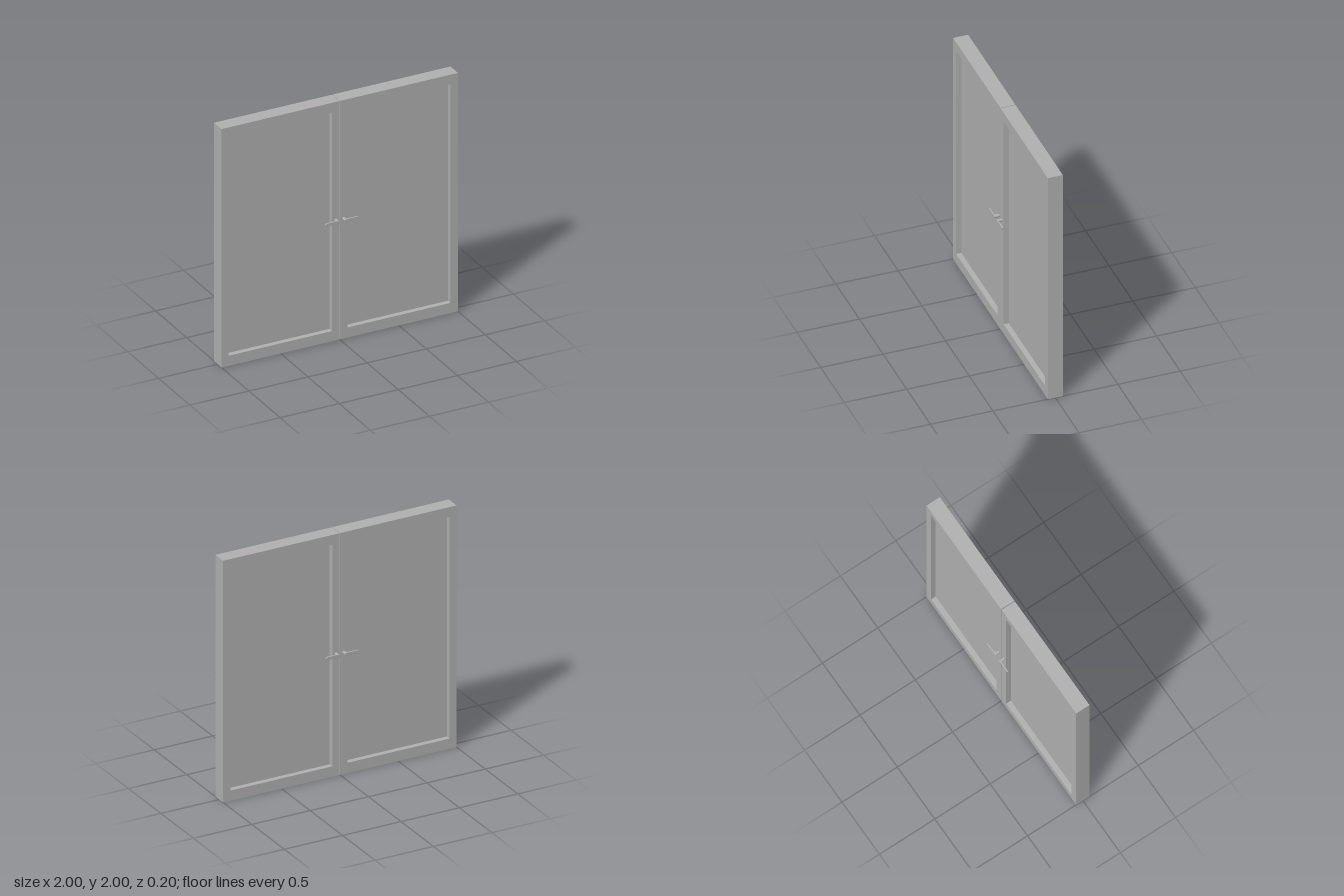
import * as THREE from 'three';

const grey = new THREE.MeshStandardMaterial({ color: 0xb0b0b0 });
grey.name = 'grey';

const HALF = 0.06; // half thickness of a door leaf

function part(name, geometry, parent) {
  const mesh = new THREE.Mesh(geometry, grey);
  mesh.name = name;
  parent.add(mesh);
  return mesh;
}

function rect(Type, x0, y0, x1, y1) {
  return new Type([[x0, y0], [x1, y0], [x1, y1], [x0, y1]].map(p => new THREE.Vector2(...p)));
}

// One leaf: a frame with a recessed panel on both faces
function makeLeaf(side) {
  const leaf = new THREE.Group();
  leaf.name = side > 0 ? 'leftLeaf' : 'rightLeaf';
  const shape = rect(THREE.Shape, -0.4985, 0, 0.4985, 2);
  shape.holes.push(rect(THREE.Path, -0.4375, 0.085, 0.4375, 1.92));
  const frame = new THREE.ExtrudeGeometry(shape, { depth: 2 * HALF, bevelEnabled: false });
  part('frame', frame.translate(0, 0, -HALF), leaf);
  part('panel', new THREE.BoxGeometry(0.875, 1.835, 0.036), leaf).position.y = 1.0025;
  leaf.position.x = side * 0.5015;
  return leaf;
}

// Lever handle for the front of the +x leaf, centred on y = 0
function makeHandle() {
  const handle = new THREE.Group();
  handle.name = 'handle';
  const r = 0.0125, x0 = 0.02 + r, x1 = 0.142 - r;

  // Flat lever with rounded ends
  const bar = new THREE.Shape();
  bar.absarc(x0, 0, r, Math.PI / 2, Math.PI * 1.5, false);
  bar.absarc(x1, 0, r, -Math.PI / 2, Math.PI / 2, false);
  const lever = new THREE.ExtrudeGeometry(bar, {
    depth: 0.006, bevelSize: 0.002, bevelThickness: 0.002, bevelOffset: -0.002, bevelSegments: 2, curveSegments: 10,
  });
  part('lever', lever.translate(0, 0, 0.094), handle);

  // Round stem reaching into the frame
  const stem = new THREE.CylinderGeometry(r, r, 0.046, 20).rotateX(Math.PI / 2);
  part('stem', stem.translate(x0, 0, 0.073), handle);

  // Concave web blending the stem into the lever
  const web = new THREE.Shape();
  web.moveTo(x0, 0.075);
  web.lineTo(x0 + r, 0.075);
  web.quadraticCurveTo(x0 + r, 0.0925, x0 + r + 0.018, 0.0925);
  web.lineTo(x0, 0.0925);
  const blend = new THREE.ExtrudeGeometry(web, { depth: 0.018, bevelEnabled: false, curveSegments: 8 });
  part('blend', blend.rotateX(Math.PI / 2).translate(0, 0.009, 0), handle);
  return handle;
}

export function createModel() {
  const model = new THREE.Group();
  model.name = 'doubleDoor';
  model.add(makeLeaf(-1), makeLeaf(1));

  // Half turns place the handle on both leaves and both faces
  const turns = [[0, 0, 0], [Math.PI, 0, 0], [0, Math.PI, 0], [0, 0, Math.PI]];
  for (const turn of turns) {
    const handle = makeHandle();
    handle.rotation.set(...turn);
    handle.position.y = 1.008;
    model.add(handle);
  }
  return model;
}
